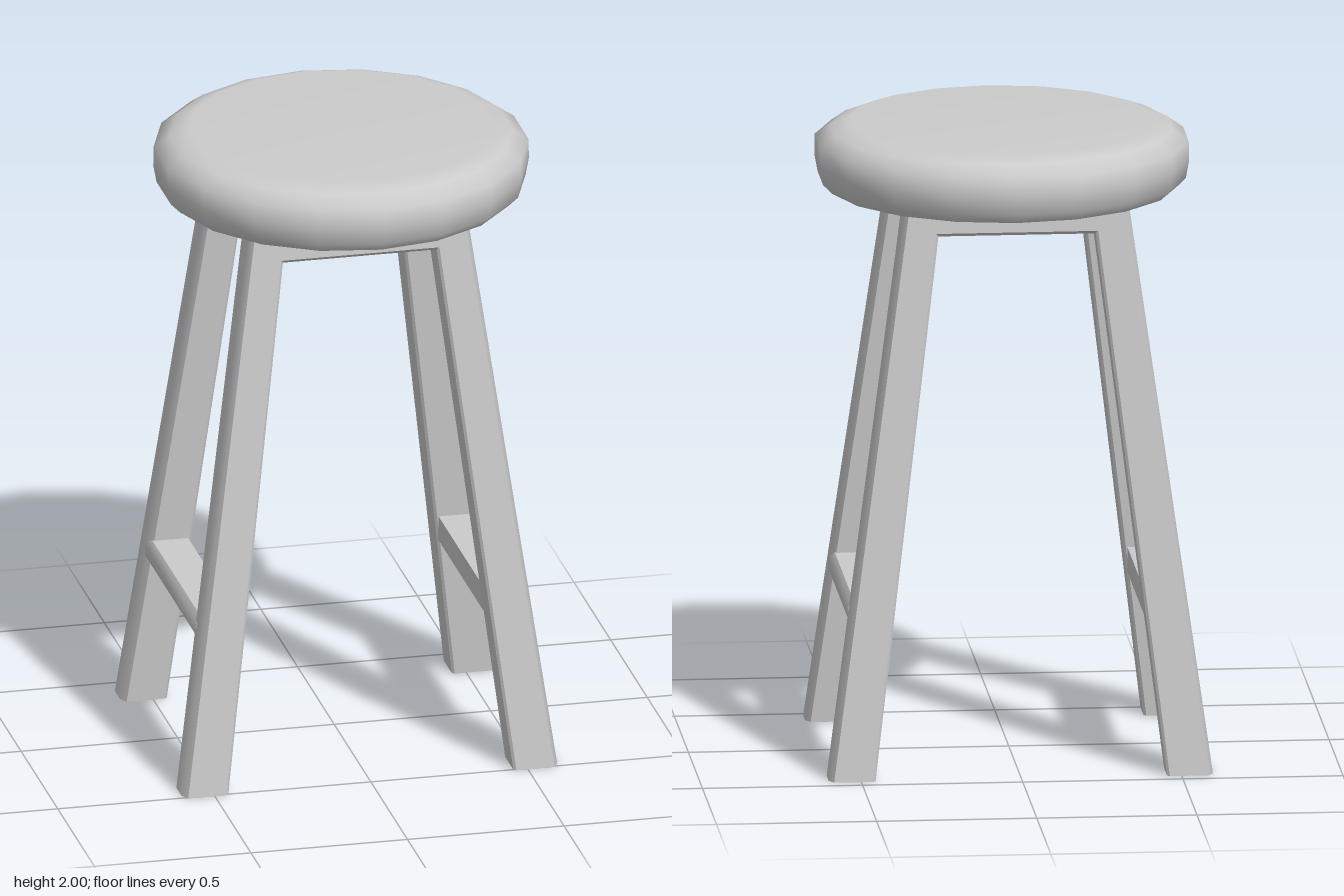
import * as THREE from 'three';
import { toCreasedNormals } from 'three/addons/utils/BufferGeometryUtils.js';

const material = new THREE.MeshStandardMaterial({ color: 0xcccccc });
const LEG_TOP = 1.795, FRAME_Z = 0.025, HALF = 0.063;
const lerp = THREE.MathUtils.lerp;

// Distance of a frame from the middle of the stool at height y (frames lean inwards)
const lean = (y) => lerp(0.42, 0.262, y / LEG_TOP);

function addMesh(parent, name, geometry) {
  const mesh = new THREE.Mesh(geometry, material);
  mesh.name = name;
  parent.add(mesh);
  return mesh;
}

// Solid between two matching convex rings; reverse for mirrored rings
function prism(a, b, reverse = false) {
  if (reverse) { a = [...a].reverse(); b = [...b].reverse(); }
  const n = a.length, index = [];
  for (let i = 0; i < n; i++) {
    const j = (i + 1) % n;
    index.push(i, j, n + j, i, n + j, n + i);
    if (i > 0 && i < n - 1) index.push(0, i + 1, i, n, n + i, n + i + 1);
  }
  const geometry = new THREE.BufferGeometry();
  geometry.setAttribute('position', new THREE.Float32BufferAttribute([...a, ...b].flat(), 3));
  geometry.setIndex(index);
  return toCreasedNormals(geometry, 0.75);
}

// Leg cross-section: broad rounding on the outer edges, a fine one inside
function legRing(sx, sz, y, inner, outer) {
  const section = [
    [inner, HALF - 0.008], [inner + 0.008, HALF],
    [outer - 0.015, HALF], [outer, HALF - 0.028],
    [outer, -HALF + 0.028], [outer - 0.015, -HALF],
    [inner + 0.008, -HALF], [inner, -HALF + 0.008],
  ];
  return section.map(([x, z]) => [sx * x, y, FRAME_Z + sz * (lean(y) + z)]);
}

export function createModel() {
  const stool = new THREE.Group();
  stool.name = 'stool';

  // Cushioned round seat
  const seat = new THREE.Group();
  seat.name = 'seat';
  seat.position.x = 0.022;
  stool.add(seat);
  const profile = [
    [0.545, 1.795], [0.575, 1.825], [0.585, 1.88], [0.584, 1.943], [0.535, 1.978], [0.475, 2], [0, 2],
  ].map(([r, y]) => new THREE.Vector2(r, y));
  addMesh(seat, 'cushion', new THREE.LatheGeometry(profile, 18));
  const underside = addMesh(seat, 'seatUnderside', new THREE.CircleGeometry(0.545, 18, Math.PI / 2));
  underside.rotation.x = Math.PI / 2;
  underside.position.y = 1.795;

  // Front and back frames: two splayed legs joined by a top rail
  for (const sz of [1, -1]) {
    const frame = new THREE.Group();
    frame.name = sz > 0 ? 'frontFrame' : 'backFrame';
    stool.add(frame);
    for (const sx of [1, -1]) {
      addMesh(frame, sx > 0 ? 'leftLeg' : 'rightLeg', prism(
        legRing(sx, sz, 0, 0.455, 0.6),
        legRing(sx, sz, LEG_TOP, 0.234, 0.35),
        sx * sz < 0,
      ));
    }
    const railSection = [
      [HALF, 1.71], [HALF - 0.01, 1.7], [-HALF + 0.01, 1.7], [-HALF, 1.71],
      [-HALF, LEG_TOP], [HALF, LEG_TOP],
    ];
    const railRing = (x) => railSection.map(([z, y]) => [x, y, FRAME_Z + sz * (lean(y) + z)]);
    addMesh(frame, 'topRail', prism(railRing(-0.29), railRing(0.29), sz < 0));
  }

  // Side stretchers between the front and back legs
  const barSection = [
    [0.4, 0.47], [0.515, 0.47], [0.53, 0.492], [0.528, 0.53], [0.513, 0.55], [0.4, 0.55],
  ];
  for (const sx of [1, -1]) {
    const ring = (z) => barSection.map(([x, y]) => [sx * x, y, FRAME_Z + z]);
    addMesh(stool, sx > 0 ? 'leftStretcher' : 'rightStretcher', prism(ring(-0.35), ring(0.35), sx < 0));
  }
  return stool;
}
